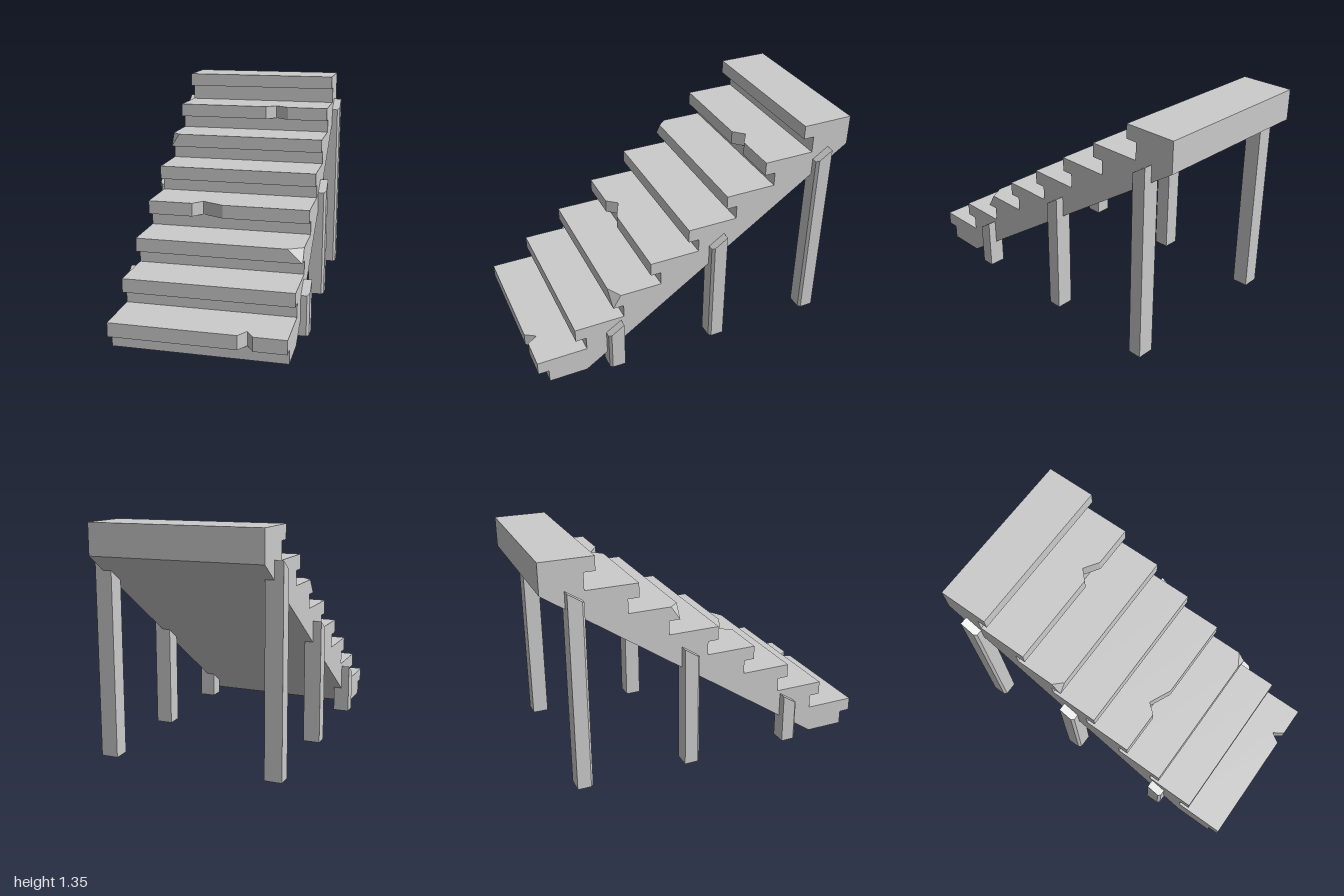
import * as THREE from 'three';

const STEPS = 8, RUN = 0.2418, LIP = 0.065, SLAB = 0.083, HALF = 0.5;
const nose = k => 1 - RUN * k;
const riser = k => nose(k) - LIP;
const topY = k => (k === STEPS - 1 ? 1.35 : (k + 1) / 6);

// Damage per step: a V notch [x0, tip, x1, depth] or a chipped corner
const notches = {
  0: [0.23, 0.272, 0.315, 0.064],
  3: [-0.222, -0.168, -0.03, 0.064],
  6: [0.09, 0.15, 0.24, 0.06],
};
const chips = {
  2: { side: 1, width: 0.09, depth: 0.05 },
  5: { side: -1, width: 0.052, depth: 0.055 },
};

// Extrudes an (x, z) outline upwards from y = 0
function extrudePlan(points, height) {
  const shape = new THREE.Shape(points.map(([x, z]) => new THREE.Vector2(x, -z)));
  const geometry = new THREE.ExtrudeGeometry(shape, { depth: height, bevelEnabled: false });
  return geometry.rotateX(-Math.PI / 2);
}

// Moves each vertex by a rule and renews the normals
function reshape(geometry, rule) {
  const p = geometry.attributes.position;
  const v = new THREE.Vector3();
  for (let i = 0; i < p.count; i++) {
    rule(v.fromBufferAttribute(p, i));
    p.setXYZ(i, v.x, v.y, v.z);
  }
  geometry.computeVertexNormals();
  return geometry;
}

function treadGeometry(k) {
  const front = nose(k);
  const back = k === STEPS - 1 ? -1 : riser(k + 1);
  const notch = notches[k], chip = chips[k];
  const corner = side => {
    if (!chip || chip.side !== side) return [[side * HALF, front]];
    const cut = [[side * (HALF - chip.width), front], [side * HALF, front - chip.depth]];
    return side > 0 ? cut : cut.reverse();
  };
  const edge = notch
    ? [[notch[0], front], [notch[1], front - notch[3]], [notch[2], front]] : [];
  const geometry = extrudePlan(
    [[-HALF, back], ...corner(-1), ...edge, ...corner(1), [HALF, back]], SLAB);
  // The chip tapers to the untouched lower corner
  if (chip) reshape(geometry, v => {
    const nearCorner = v.x * chip.side > HALF - chip.width - 0.001 &&
      v.z > front - chip.depth - 0.001;
    if (v.y < 0.001 && nearCorner) { v.x = chip.side * HALF; v.z = front; }
  });
  return geometry;
}

// Solid carriage beneath the treads, with sloping underside
function bodyGeometry() {
  const profile = [[0.7, 0], [riser(0), 0]];
  for (let k = 0; k < STEPS; k++) {
    const y = topY(k) - SLAB;
    profile.push([riser(k), y], [k === STEPS - 1 ? -1 : riser(k + 1), y]);
  }
  profile.push([-1, 1.17]);
  const shape = new THREE.Shape(profile.map(([z, y]) => new THREE.Vector2(-z, y)));
  return new THREE.ExtrudeGeometry(shape, { depth: 2 * HALF, bevelEnabled: false })
    .rotateY(Math.PI / 2).translate(-HALF, 0, 0);
}

// Post with a chamfered outer front edge and a slanted top
function postGeometry(side, zFront, yFront) {
  const inner = 0.45, outer = 0.55, c = 0.015, zBack = zFront - 0.096;
  const plan = [[inner, zBack], [outer, zBack], [outer, zFront - c],
    [outer - c, zFront], [inner, zFront]].map(([x, z]) => [x * side, z]);
  return reshape(extrudePlan(plan, 1), v => {
    if (v.y > 0.5) v.y = yFront + (zFront - v.z) * 0.67;
  });
}

export function createModel() {
  const group = new THREE.Group();
  group.name = 'staircase';
  const material = new THREE.MeshStandardMaterial({ color: 0xcccccc, flatShading: true });
  const add = (name, geometry, y = 0) => {
    const mesh = new THREE.Mesh(geometry, material);
    mesh.name = name;
    mesh.position.y = y;
    group.add(mesh);
  };

  add('stairBody', bodyGeometry());
  for (let k = 0; k < STEPS; k++) add(`tread${k + 1}`, treadGeometry(k), topY(k) - SLAB);

  // Three pairs of support posts
  const posts = [['front', 0.566, 0.247], ['middle', -0.102, 0.682], ['back', -0.77, 1.115]];
  for (const [place, z, y] of posts) {
    add(`${place}PostLeft`, postGeometry(1, z, y));
    add(`${place}PostRight`, postGeometry(-1, z, y));
  }
  return group;
}
